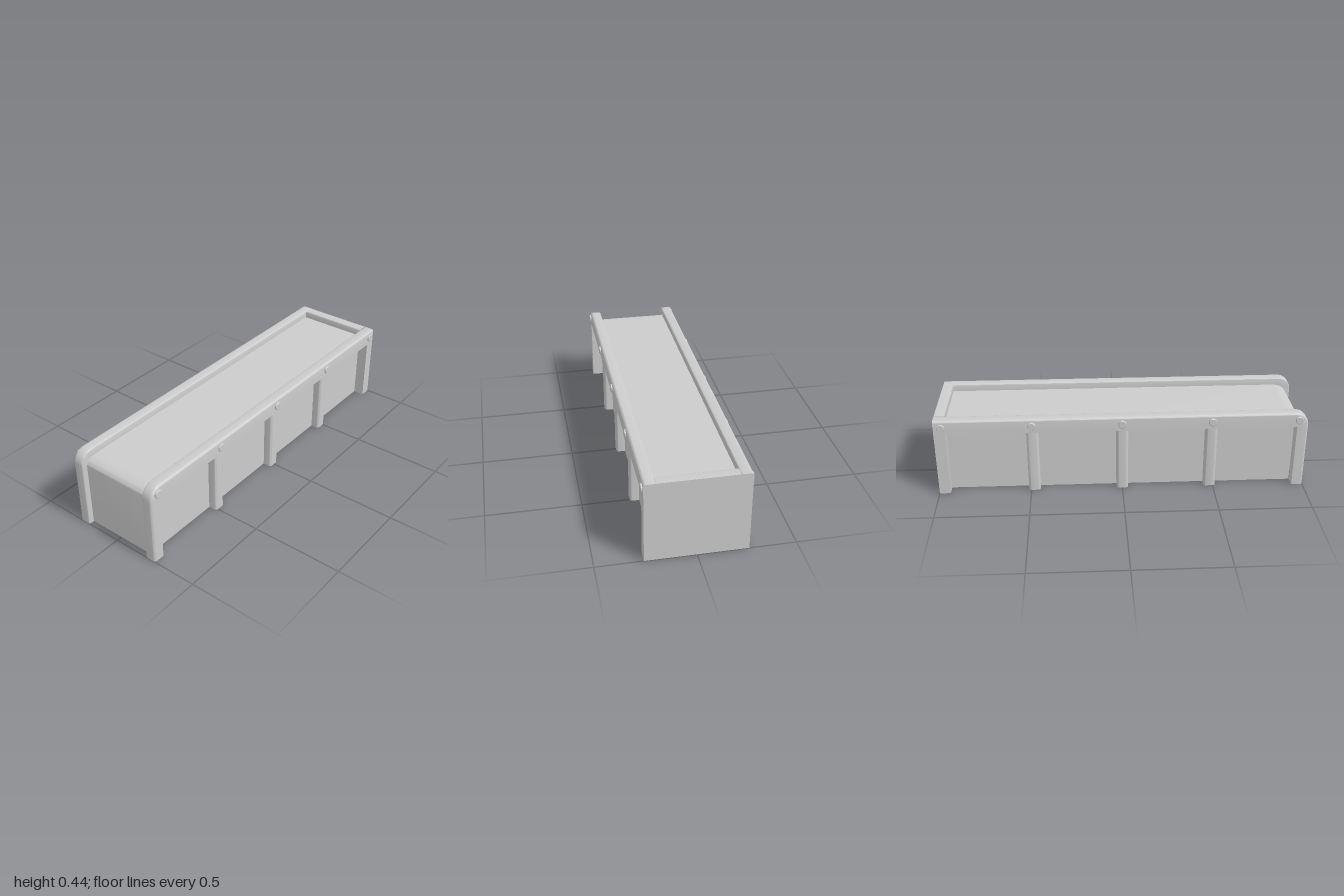
import * as THREE from 'three';
import { toCreasedNormals } from 'three/addons/utils/BufferGeometryUtils.js';

const material = new THREE.MeshStandardMaterial({ color: 0xcccccc, side: THREE.DoubleSide });
const IN = 0.2, OUT = 0.26, TOP = 0.44, RAIL = 0.36, DECK = 0.4;

// Skin rows of points (all the same length) into an open sheet
function sheet(rows) {
  const n = rows[0].length, index = [];
  for (let i = 0; i < rows.length - 1; i++) {
    for (let j = 0; j < n - 1; j++) {
      const a = i * n + j, b = a + n;
      index.push(a, a + 1, b, a + 1, b + 1, b);
    }
  }
  const g = new THREE.BufferGeometry();
  g.setAttribute('position', new THREE.Float32BufferAttribute(rows.flat(2), 3));
  g.setIndex(index);
  return toCreasedNormals(g, 0.7);
}

// Quarter turn about (cx, cy) from angle a0 to a1
function arc(cx, cy, rx, ry, a0, a1, steps = 6) {
  return Array.from({ length: steps + 1 }, (_, i) => {
    const a = a0 + ((a1 - a0) * i) / steps;
    return [cx + rx * Math.cos(a), cy + ry * Math.sin(a)];
  });
}

function add(parent, name, geometry) {
  const mesh = new THREE.Mesh(geometry, material);
  mesh.name = name;
  parent.add(mesh);
  return mesh;
}

// Hollow rail that bends down into the front leg, open towards the inside
function railGeometry() {
  const stations = [[[1, 0], [0.94, 0]]];
  for (const p of arc(0.93, 0.37, 0.07, 0.07, 0, Math.PI / 2, 10)) stations.push([p, [0.94, RAIL]]);
  stations.push([[-1, TOP], [-1, RAIL]]);
  const r = 0.012;
  return sheet(stations.map(([p, q]) => {
    const d = Math.hypot(p[0] - q[0], p[1] - q[1]);
    // section points: x and depth below the outer surface
    const section = [
      [IN, d], [OUT, d],
      ...arc(OUT - r, r, r, r, 0, -Math.PI / 2),
      ...arc(IN + r / 2, r / 2, r / 2, r / 2, -Math.PI / 2, -Math.PI, 3),
      [IN, 0.042],
    ];
    return section.map(([x, t]) => [x, p[1] + ((q[1] - p[1]) * t) / d, p[0] + ((q[0] - p[0]) * t) / d]);
  }));
}

// Hollow upright with rounded outer corners, open towards the inside
function postGeometry(z) {
  const h = 0.032, r = 0.015, x = 0.248;
  const section = [
    [IN, z - h],
    ...arc(x - r, z - h + r, r, r, -Math.PI / 2, 0),
    ...arc(x - r, z + h - r, r, r, 0, Math.PI / 2),
    [IN, z + h],
  ];
  return sheet([0, RAIL].map((y) => section.map(([px, pz]) => [px, y, pz])));
}

// Upright rectangle along z at the inner side line
function panelGeometry(z0, z1) {
  return sheet([0, RAIL].map((y) => [[IN, y, z0], [IN, y, z1]]));
}

// Bolt with a slightly chamfered head, lying along x
function boltGeometry() {
  const profile = [[0, 0], [0.022, 0], [0.022, 0.027], [0.019, 0.03], [0, 0.03]];
  const g = new THREE.LatheGeometry(profile.map(([x, y]) => new THREE.Vector2(x, y)), 20);
  g.rotateZ(-Math.PI / 2);
  return toCreasedNormals(g, 0.6);
}

function createSide() {
  const side = new THREE.Group();
  add(side, 'railAndFrontLeg', railGeometry());
  const posts = [0.482, 0, -0.482];
  posts.forEach((z) => add(side, 'middleLeg', postGeometry(z)));

  // Panels fill the bays between the legs
  const stops = [0.97, ...posts, -0.972];
  for (let i = 0; i < stops.length - 1; i++) {
    add(side, 'sidePanel', panelGeometry(stops[i + 1] + 0.032, stops[i] - 0.032));
  }

  // Back leg closed by the rear wall
  const backLeg = [[IN, -0.94], [OUT, -0.94], [OUT, -1]];
  add(side, 'backLeg', sheet([0, RAIL].map((y) => backLeg.map(([x, z]) => [x, y, z]))));

  for (const z of [0.95, 0.482, 0, -0.482, -0.96]) {
    add(side, 'bolt', boltGeometry()).position.set(0.239, DECK, z);
  }
  return side;
}

export function createModel() {
  const model = new THREE.Group();
  model.name = 'longBench';

  const left = createSide();
  left.name = 'leftSide';
  const right = createSide();
  right.name = 'rightSide';
  right.scale.x = -1;
  model.add(left, right);

  // Deck that rolls over into the front panel
  const deck = [[0.97, 0], ...arc(0.89, 0.357, 0.08, 0.043, 0, Math.PI / 2, 10), [-0.945, DECK]];
  add(model, 'deckAndFrontPanel', sheet(deck.map(([z, y]) => [[-IN, y, z], [IN, y, z]])));

  // Rear rail across the back of the deck
  const rear = [[-0.945, DECK], ...arc(-0.951, TOP - 0.006, 0.006, 0.006, 0, Math.PI / 2, 3), [-1, TOP]];
  add(model, 'rearRail', sheet(rear.map(([z, y]) => [[-IN, y, z], [IN, y, z]])));

  // Rear wall with rounded top corners
  const r = 0.012;
  const wall = new THREE.Shape();
  wall.moveTo(-OUT, 0);
  wall.lineTo(OUT, 0);
  wall.lineTo(OUT, TOP - r);
  wall.absarc(OUT - r, TOP - r, r, 0, Math.PI / 2, false);
  wall.absarc(-OUT + r, TOP - r, r, Math.PI / 2, Math.PI, false);
  wall.closePath();
  add(model, 'rearWall', new THREE.ShapeGeometry(wall, 6).rotateY(Math.PI)).position.z = -1;

  return model;
}
